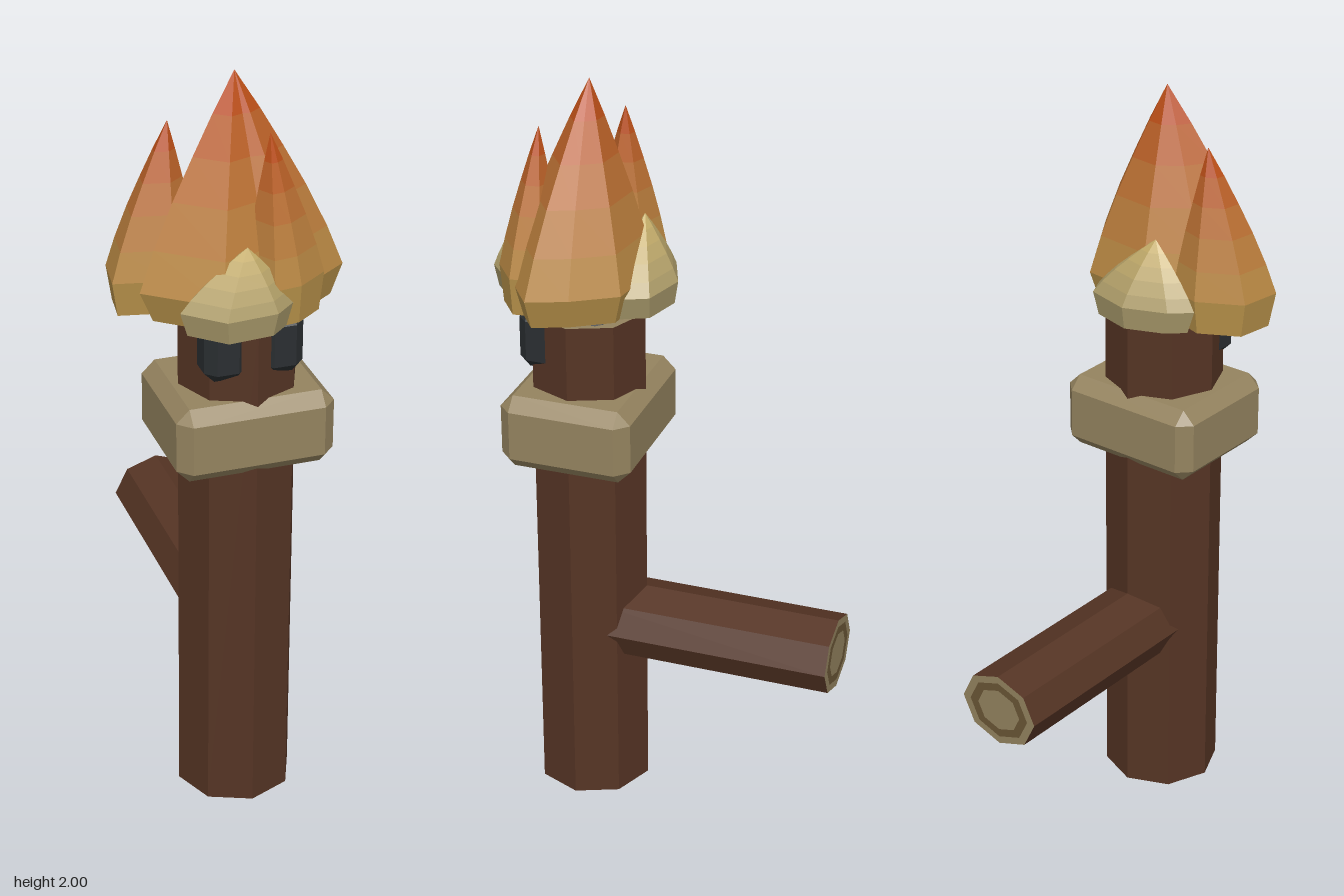
import * as THREE from 'three';
import { ConvexGeometry } from 'three/addons/geometries/ConvexGeometry.js';

const mat = (color) => new THREE.MeshStandardMaterial({ color, flatShading: true });
const WOOD = mat(0x553424), STONE = mat(0x94835f), CHAR = mat(0x2a2e31);
const RING_LIGHT = mat(0x94835f), RING_DARK = mat(0x6a5636);

function add(parent, name, geometry, material) {
  const mesh = new THREE.Mesh(geometry, material);
  mesh.name = name;
  parent.add(mesh);
  return mesh;
}

// Octagonal log along y with concentric growth rings on both cut ends
function log(name, radius, length) {
  const g = new THREE.Group();
  g.name = name;
  add(g, 'bark', new THREE.CylinderGeometry(radius, radius, length, 8, 1, true), WOOD);
  const steps = [1, 0.8, 0.58, 0];
  for (const side of [1, -1]) {
    for (let i = 0; i < 3; i++) {
      const ring = add(g, 'growthRing',
        new THREE.RingGeometry(radius * steps[i + 1], radius * steps[i], 8, 1),
        i === 1 ? RING_DARK : RING_LIGHT);
      ring.rotation.x = -side * Math.PI / 2;
      ring.position.y = side * length / 2;
    }
  }
  return g;
}

// Box of size w, h, d with every edge cut by a single flat chamfer c
function chamferBox(w, h, d, c) {
  const pts = [];
  for (const x of [-1, 1]) for (const y of [-1, 1]) for (const z of [-1, 1]) {
    for (const [a, b, e] of [[0, c, c], [c, 0, c], [c, c, 0]]) {
      pts.push(new THREE.Vector3(x * (w / 2 - a), y * (h / 2 - b), z * (d / 2 - e)));
    }
  }
  return new ConvexGeometry(pts);
}

// Faceted flame: outline [x, z] at its widest height, drawn up to a tip,
// with a short inward bevel below; coloured in bands from base to tip
function flame(name, tip, wide, outline, baseColor, tipColor) {
  const g = new THREE.Group();
  g.name = name;
  const n = outline.length, bottom = 1.42;
  const cx = outline.reduce((s, p) => s + p[0], 0) / n;
  const cz = outline.reduce((s, p) => s + p[1], 0) / n;
  const pts = [...outline].sort((p, q) =>
    Math.atan2(p[1] - cz, p[0] - cx) - Math.atan2(q[1] - cz, q[0] - cx));
  const ring = (s, y, x, z) => pts.map((p) =>
    new THREE.Vector3(x + (p[0] - x) * s, y, z + (p[1] - z) * s));

  const rings = [ring(0, bottom, cx, cz), ring(0.88, bottom, cx, cz)];
  const profile = [[0, 1], [0.2, 0.85], [0.42, 0.65], [0.62, 0.44], [0.81, 0.23], [1, 0]];
  for (const [t, s] of profile) {
    rings.push(ring(s, wide + (tip[1] - wide) * t, tip[0], tip[2]));
  }
  const last = rings.length - 2;
  for (let k = 0; k <= last; k++) {
    const tris = [];
    for (let i = 0; i < n; i++) {
      const j = (i + 1) % n;
      const a = rings[k][i], b = rings[k][j], c = rings[k + 1][j], d = rings[k + 1][i];
      if (k < last) tris.push(a, d, c);
      if (k > 0) tris.push(a, c, b);
    }
    const geo = new THREE.BufferGeometry().setFromPoints(tris);
    geo.computeVertexNormals();
    const color = new THREE.Color(baseColor).lerp(new THREE.Color(tipColor), Math.max(0, k - 1) / (last - 1));
    add(g, 'flameBand', geo, mat(color));
  }
  return g;
}

export function createModel() {
  const model = new THREE.Group();
  model.name = 'torch';
  const X = 0.04, Z = 0.21;

  // Upright post and the bracket log running backwards from it
  const post = log('post', 0.155, 1.4);
  post.position.set(X, 0.7, Z);
  const bracket = log('bracket', 0.12, 0.655);
  bracket.rotation.x = -Math.PI / 2;
  bracket.scale.z = 0.84;
  bracket.position.set(X, 0.5, -0.1475);
  model.add(post, bracket);

  // Stone collar
  add(model, 'collar', chamferBox(0.41, 0.2, 0.35, 0.034), STONE).position.set(X, 1.1, Z);

  // Charred blocks set through the top of the post
  for (const side of [-1, 1]) {
    add(model, 'charredBlock', chamferBox(0.108, 0.16, 0.236, 0.026), CHAR)
      .position.set(X + side * 0.073, 1.335, 0.238);
  }

  // Fire: three orange tongues
  const amber = 0xb8924a, red = 0xbc4f18;
  model.add(
    flame('mainFlame', [0.03, 2, 0.2], 1.5,
      [[0.285, 0.28], [0.14, 0.385], [0.06, 0.38], [-0.07, 0.425], [-0.235, 0.29],
        [-0.14, 0.14], [-0.01, 0.045], [0.175, 0.07], [0.245, 0.18]], amber, red),
    flame('leftFlame', [-0.125, 1.88, 0.165], 1.51,
      [[-0.288, 0.24], [-0.272, 0.13], [-0.16, 0.07], [-0.07, 0.1], [-0.05, 0.2], [-0.14, 0.27]], amber, red),
    flame('frontFlame', [0.08, 1.88, 0.315], 1.52,
      [[0.21, 0.35], [0.13, 0.41], [0.06, 0.42], [0.01, 0.33], [0.1, 0.24], [0.2, 0.27]], amber, red));

  // Pale low tongues at the foot of the fire, front and back
  const pale = 0xa8996a, paleTip = 0xc6ae6a;
  model.add(
    flame('paleFrontFlame', [0.0, 1.63, 0.39], 1.48,
      [[-0.165, 0.385], [-0.075, 0.47], [0.055, 0.458], [0.12, 0.4], [0.05, 0.3], [-0.1, 0.3]], pale, paleTip),
    flame('paleBackFlame', [-0.03, 1.64, 0.08], 1.48,
      [[-0.16, 0.07], [-0.11, 0.025], [0, -0.018], [0.12, 0.015], [0.16, 0.1], [0, 0.16]], pale, paleTip));

  return model;
}
